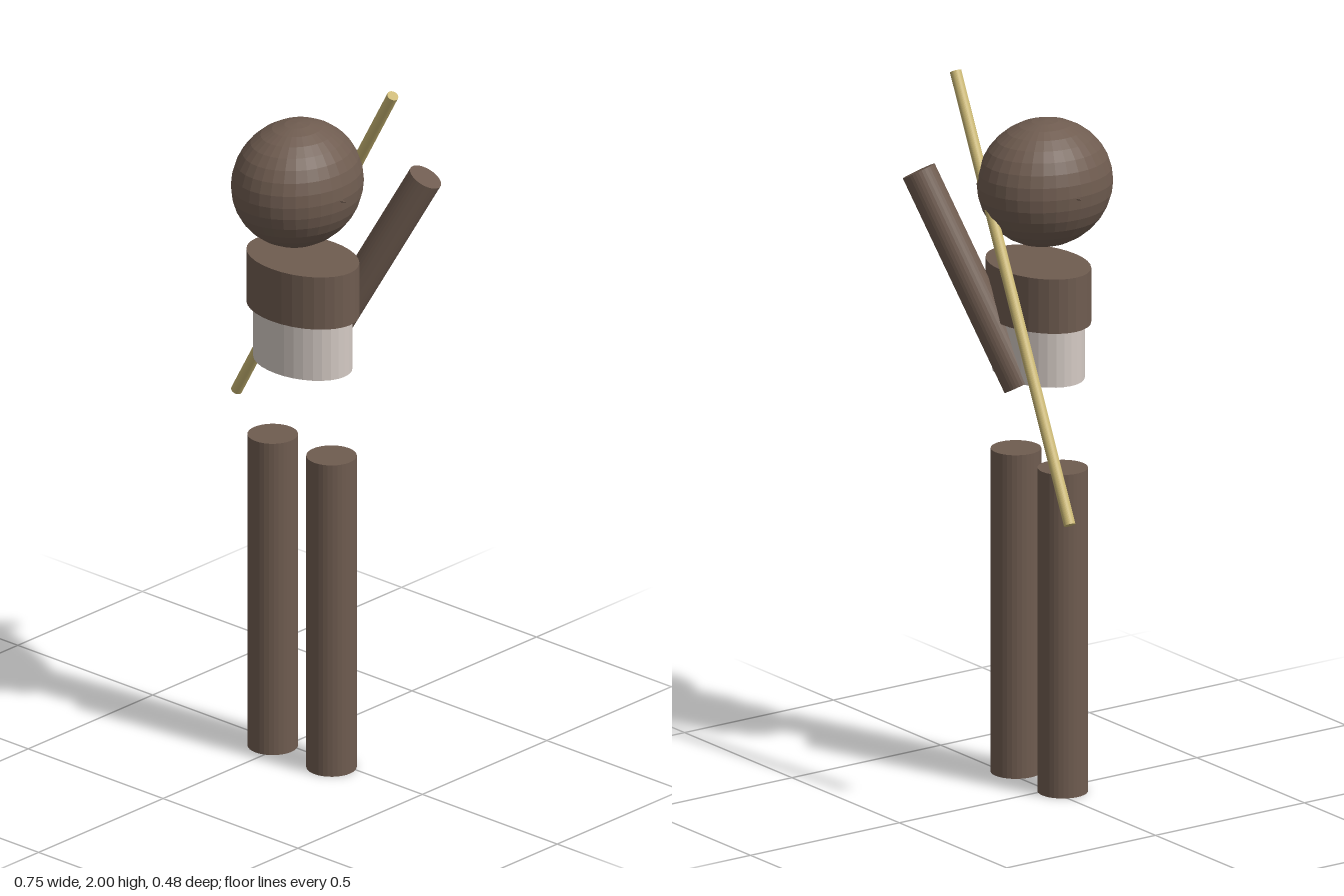
import * as THREE from 'three';

export function createModel() {
  const model = new THREE.Group();
  const paint = (name, color) => {
    const m = new THREE.MeshStandardMaterial({ color, flatShading: true });
    m.name = name;
    return m;
  };
  const brown = paint('brown', 0x6f5c50);
  const pale = paint('pale grey', 0xd4cac4);
  const straw = paint('straw', 0xcab774);

  const add = (name, geometry, material, x, y, z) => {
    const mesh = new THREE.Mesh(geometry, material);
    mesh.name = name;
    mesh.position.set(x, y, z);
    model.add(mesh);
    return mesh;
  };

  // Upright cylinder with an oval section
  const drum = (name, material, x, z, rx, rz, y0, y1) =>
    add(name, new THREE.CylinderGeometry(1, 1, y1 - y0, 32).scale(rx, 1, rz),
      material, x, (y0 + y1) / 2, z);

  // Round rod between two end points
  const rod = (name, material, a, b, r) => {
    const from = new THREE.Vector3(...a);
    const to = new THREE.Vector3(...b);
    const dir = to.clone().sub(from);
    const mid = from.add(to).multiplyScalar(0.5);
    const mesh = add(name, new THREE.CylinderGeometry(r, r, dir.length(), 32),
      material, mid.x, mid.y, mid.z);
    mesh.quaternion.setFromUnitVectors(new THREE.Vector3(0, 1, 0), dir.normalize());
  };

  // Head with a tiny spike on each side
  add('head', new THREE.SphereGeometry(1, 32, 16).scale(0.17, 0.178, 0.194),
    brown, 0.08, 1.71, 0.047);
  for (const [name, side, x, z] of [['leftEar', 1, 0.255, 0.054], ['rightEar', -1, -0.095, 0.036]]) {
    add(name, new THREE.ConeGeometry(0.008, 0.024, 4), brown, x, 1.708, z)
      .rotation.z = -side * Math.PI / 2;
  }

  // Torso
  drum('chest', brown, 0.08, 0.025, 0.175, 0.125, 1.33, 1.485);
  drum('waist', pale, 0.08, 0.025, 0.154, 0.11, 1.17, 1.33);

  // Legs
  drum('leftLeg', brown, 0.19, 0.029, 0.069, 0.069, 0, 0.925);
  drum('rightLeg', brown, -0.028, 0.029, 0.069, 0.069, 0, 0.925);

  // Raised arm and the staff across the back
  rod('arm', brown, [0.05, 1.155, -0.057], [0.331, 1.722, -0.196], 0.048);
  rod('staff', straw, [-0.364, 0.887, -0.19], [0.31, 1.992, -0.087], 0.016);

  return model;
}
